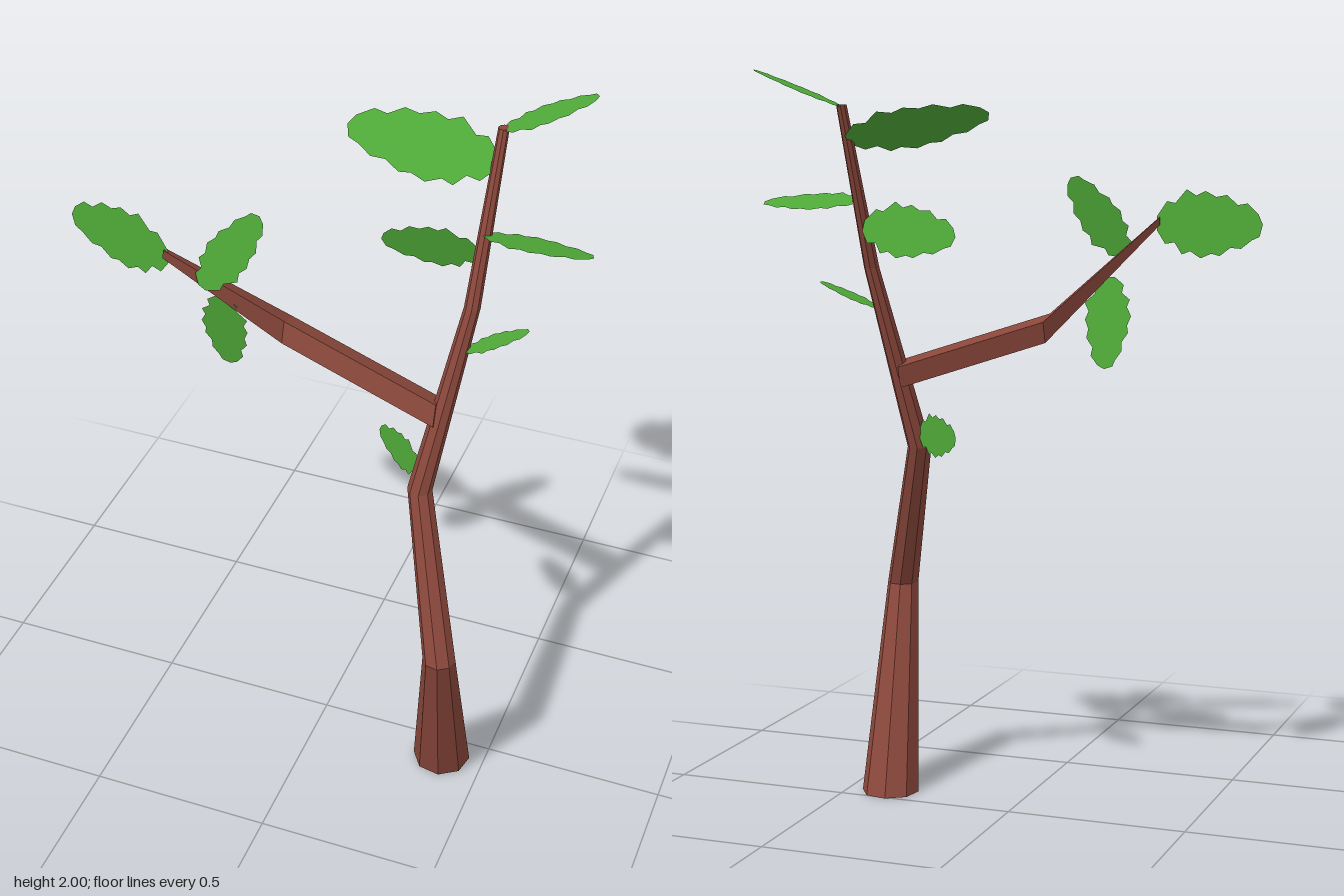
import * as THREE from 'three';

const V = (a) => new THREE.Vector3(...a);

// Tapered limb: sections are [x, y, z, radius]; rings lie in the plane of u and v
function limb(sections, sides, u, v, phase) {
  const pos = [];
  const rings = sections.map(([x, y, z, r]) =>
    Array.from({ length: sides }, (_, j) => {
      const a = phase + (j / sides) * Math.PI * 2;
      return V([x, y, z]).addScaledVector(u, Math.cos(a) * r).addScaledVector(v, Math.sin(a) * r);
    }));
  const tri = (...pts) => pts.forEach((p) => pos.push(p.x, p.y, p.z));
  const last = rings.length - 1;
  for (let j = 0; j < sides; j++) {
    const k = (j + 1) % sides;
    for (let i = 0; i < last; i++) {
      const a = rings[i], b = rings[i + 1];
      tri(a[j], a[k], b[k]);
      tri(a[j], b[k], b[j]);
    }
    tri(V(sections[0]), rings[0][k], rings[0][j]);
    tri(V(sections[last]), rings[last][j], rings[last][k]);
  }
  const g = new THREE.BufferGeometry();
  g.setAttribute('position', new THREE.Float32BufferAttribute(pos, 3));
  g.computeVertexNormals();
  return g;
}

// Jagged leaf outline: [position along the leaf, share of the half width]
const EDGE_A = [[0, 0.2], [0.08, 0.6], [0.17, 0.55], [0.24, 0.9], [0.32, 0.8], [0.42, 1],
  [0.52, 0.86], [0.6, 0.92], [0.7, 0.68], [0.8, 0.7], [0.9, 0.45], [0.97, 0.35]];
const EDGE_B = [[0, 0.2], [0.1, 0.65], [0.18, 0.6], [0.29, 1], [0.38, 0.82], [0.47, 0.95],
  [0.57, 0.78], [0.67, 0.84], [0.77, 0.55], [0.86, 0.6], [0.96, 0.3]];

// Flat leaf from base to tip, spread along the across direction
function leaf(base, tip, across, half) {
  const b = V(base), axis = V(tip).sub(b), length = axis.length();
  axis.normalize();
  const w = V(across).addScaledVector(axis, -V(across).dot(axis)).normalize();
  const n = axis.clone().cross(w);
  const pts = [
    ...EDGE_A.map(([t, s]) => new THREE.Vector2(t * length, -s * half)),
    new THREE.Vector2(length, 0),
    ...EDGE_B.map(([t, s]) => new THREE.Vector2(t * length, s * half)).reverse(),
  ];
  const g = new THREE.ShapeGeometry(new THREE.Shape(pts));
  g.applyMatrix4(new THREE.Matrix4().makeBasis(axis, w, n).setPosition(b));
  return g;
}

export function createModel() {
  const bark = new THREE.MeshStandardMaterial({ color: 0x8a473b });
  bark.name = 'bark brown';
  bark.flatShading = true;
  const green = new THREE.MeshStandardMaterial({ color: 0x4fa938, side: THREE.DoubleSide });
  green.name = 'leaf green';

  const model = new THREE.Group();
  model.name = 'sapling';
  const add = (name, geometry, material) => {
    const m = new THREE.Mesh(geometry, material);
    m.name = name;
    model.add(m);
  };

  // Crooked trunk with level rings
  add('trunk', limb([
    [0.38, 0, 0.07, 0.08],
    [0.42, 0.56, 0.265, 0.044],
    [0.298, 0.98, 0.1, 0.033],
    [0.375, 1.48, -0.04, 0.021],
    [0.386, 1.91, -0.2, 0.014],
  ], 8, V([1, 0, 0]), V([0, 0, -1]), 0.2), bark);

  // Four-sided side branch
  add('branch', limb([
    [0.32, 1.19, 0.04, 0.043],
    [-0.105, 1.328, 0.015, 0.042],
    [-0.36, 1.608, 0.19, 0.014],
  ], 4, V([0, 0, 1]), V([0, 1, 0]), 1.1), bark);

  // Leaves: base, tip, across direction, half width
  const leaves = {
    crownLeaf: [[0.385, 1.905, -0.2], [0.6, 2, -0.275], [0.1, 0, 1], 0.06],
    upperRightLeaf: [[0.38, 1.82, -0.18], [0.01, 1.89, -0.115], [0, 0.5, -0.85], 0.1],
    middleRightLeaf: [[0.365, 1.595, -0.115], [0.1, 1.57, -0.125], [0, 0.95, 0.3], 0.075],
    middleLeftLeaf: [[0.38, 1.66, -0.1], [0.66, 1.655, -0.1], [0, 0.28, 0.95], 0.073],
    lowerLeftLeaf: [[0.372, 1.37, -0.005], [0.525, 1.44, -0.045], [0, 0, 1], 0.045],
    lowerRightLeaf: [[0.285, 1.02, 0.07], [0.135, 1.03, -0.04], [0, 1, 0], 0.06],
    branchTipLeaf: [[-0.35, 1.6, 0.19], [-0.66, 1.605, 0.1], [0, 1, 0], 0.09],
    branchUpperLeaf: [[-0.27, 1.515, 0.17], [-0.135, 1.72, 0.11], [0.85, -0.5, 0], 0.06],
    branchLowerLeaf: [[-0.245, 1.46, 0.115], [-0.245, 1.22, 0.065], [1, 0, 0], 0.065],
  };
  for (const [name, args] of Object.entries(leaves)) add(name, leaf(...args), green);

  return model;
}
